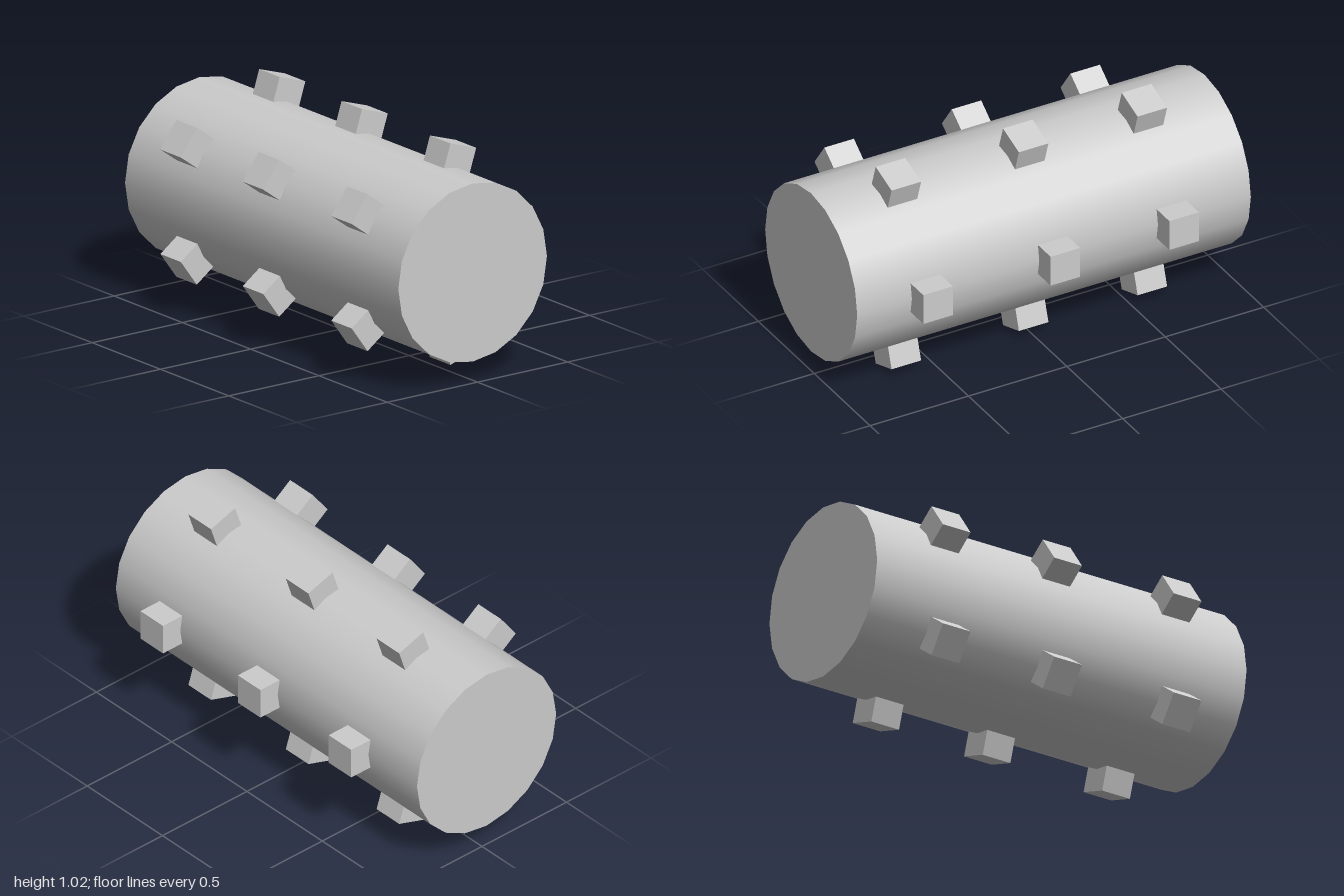
import * as THREE from 'three';

export function createModel() {
  const model = new THREE.Group();
  const material = new THREE.MeshStandardMaterial({ color: 0xcccccc });

  // Everything sits around the drum's axis, which runs along x
  const roller = new THREE.Group();
  roller.name = 'roller';
  roller.position.set(0, 0.515, 0.027);
  model.add(roller);

  // Smooth-sided drum with flat ends
  const drumGeometry = new THREE.CylinderGeometry(0.412, 0.412, 2, 20);
  drumGeometry.rotateZ(Math.PI / 2);
  const drum = new THREE.Mesh(drumGeometry, material);
  drum.name = 'drum';
  roller.add(drum);

  // Five rows of square pegs, three in each row, starting at the back
  const size = 0.15;
  const reach = 0.514;
  const pegGeometry = new THREE.BoxGeometry(size, size, size);
  pegGeometry.translate(0, 0, -(reach - size / 2));
  for (let i = 0; i < 5; i++) {
    const row = new THREE.Group();
    row.name = `pegRow${i + 1}`;
    row.rotation.x = (i * Math.PI * 2) / 5;
    for (const x of [-0.603, 0, 0.647]) {
      const peg = new THREE.Mesh(pegGeometry, material);
      peg.name = 'peg';
      peg.position.x = x;
      row.add(peg);
    }
    roller.add(row);
  }

  return model;
}
